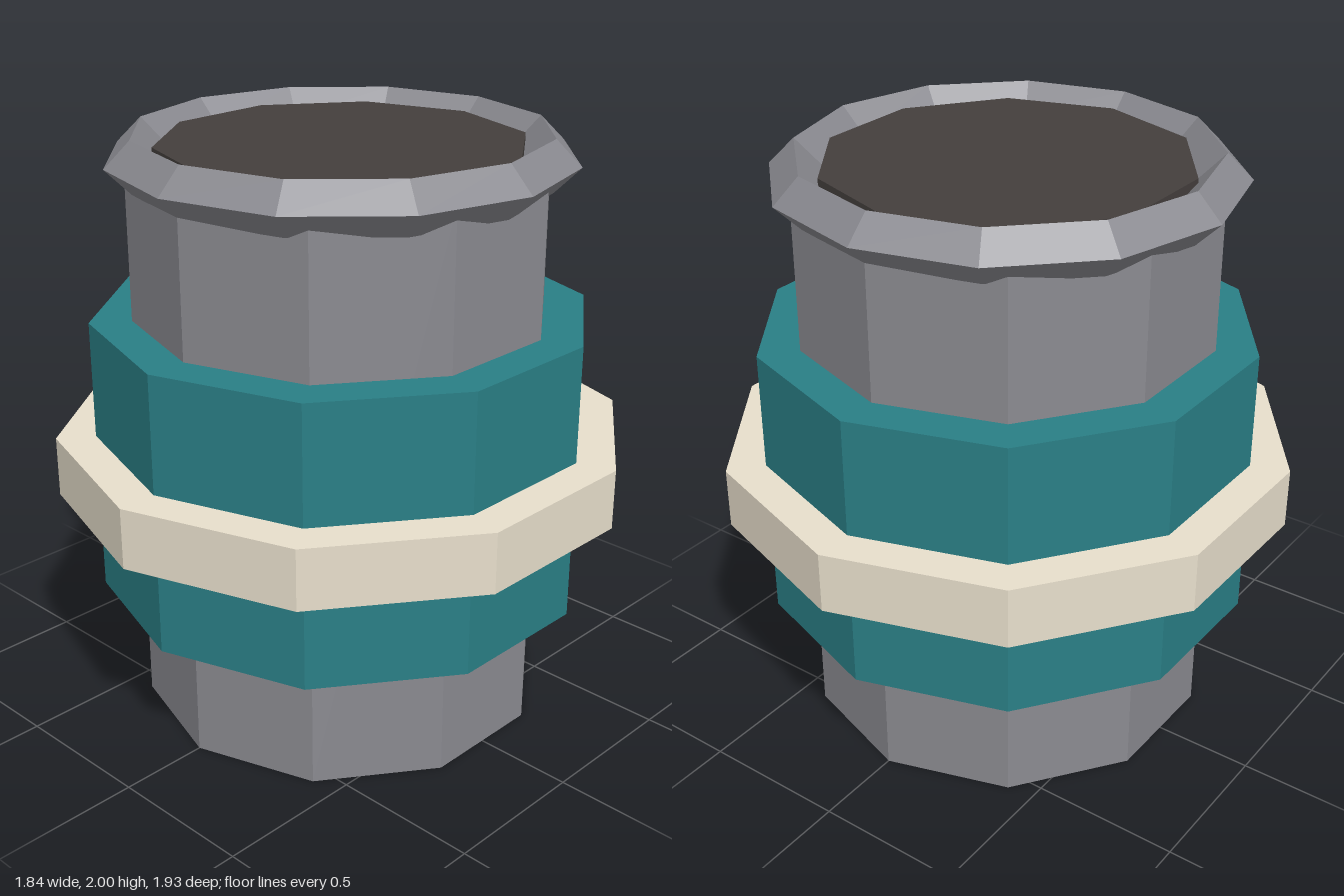
import * as THREE from 'three';

export function createModel() {
  const model = new THREE.Group();
  const paint = (color) => new THREE.MeshStandardMaterial({ color, flatShading: true });
  const metal = paint(0x8a8a90);
  const teal = paint(0x2a7f86);
  const cream = paint(0xe8dfcc);
  const dark = paint(0x443f3d);

  // Ten-sided drum between two heights, with a corner facing the front
  const drum = (name, radius, bottom, top, material) => {
    const mesh = new THREE.Mesh(new THREE.CylinderGeometry(radius, radius, top - bottom, 10), material);
    mesh.position.y = (bottom + top) / 2;
    mesh.name = name;
    model.add(mesh);
  };

  drum('body', 0.695, 0, 1.915, metal);
  drum('sleeve', 0.835, 0.44, 1.393, teal);
  drum('band', 0.967, 0.79, 0.995, cream);
  drum('opening', 0.605, 1.87, 1.96, dark);

  // Twelve-sided rim with a diamond cross-section
  const rim = new THREE.Mesh(new THREE.TorusGeometry(0.68, 0.085, 4, 12), metal);
  rim.rotation.x = Math.PI / 2;
  rim.position.y = 1.915;
  rim.name = 'rim';
  model.add(rim);

  return model;
}
